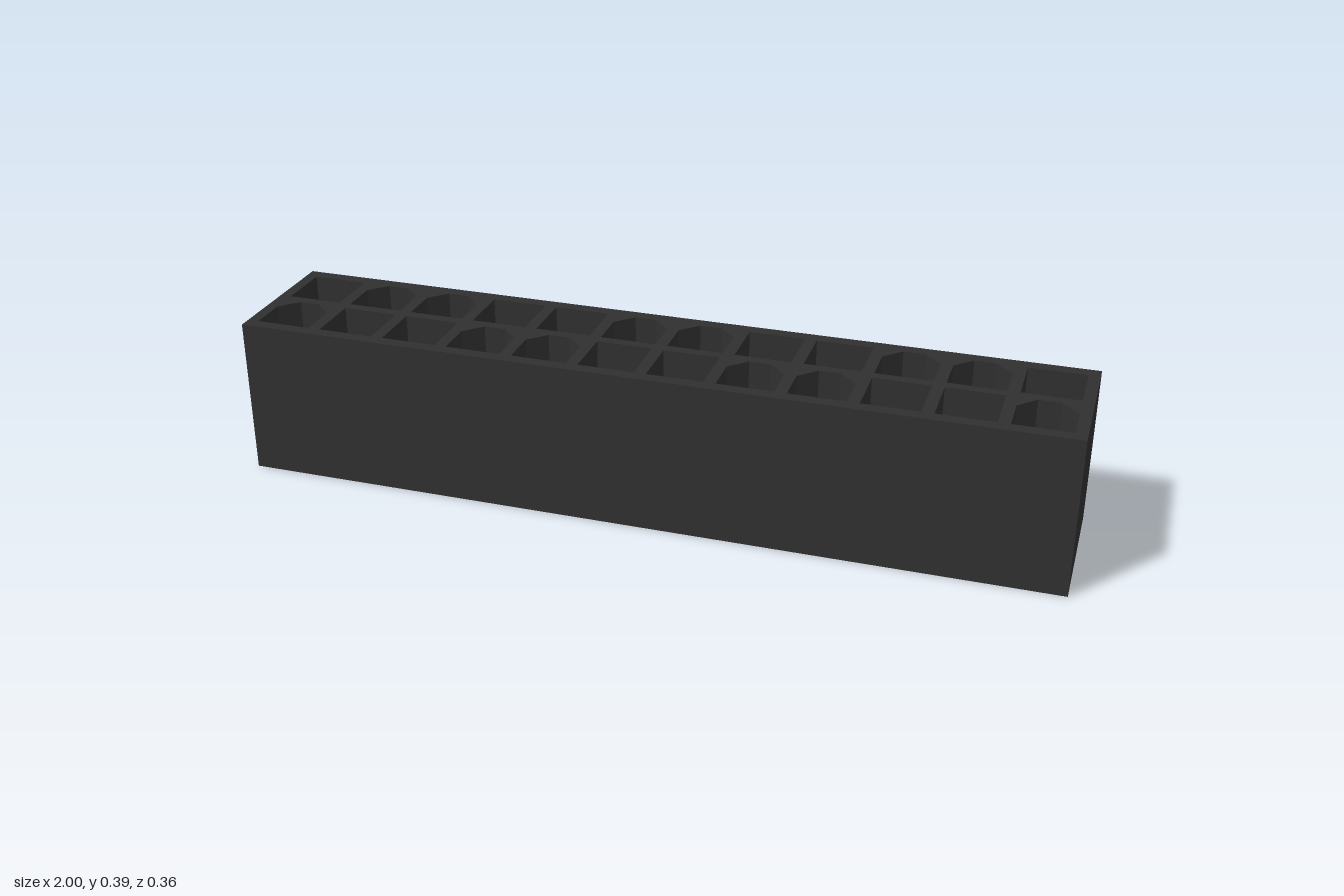
import * as THREE from 'three';

const WIDTH = 2, HEIGHT = 0.387, DEPTH = 0.36;
const COLUMNS = 12, PITCH = 0.1645, ROW_Z = 0.081;
const HALF = 0.068, CHAMFER = 0.042, FLOOR_Y = 0.04;

// Cell outline, counter-clockwise, in (x, -z); keyed cells lose both rear corners
function cellOutline(cx, cz, keyed) {
  const c = CHAMFER, h = HALF;
  const rear = keyed ? [[h, h - c], [h - c, h], [c - h, h], [-h, h - c]] : [[h, h], [-h, h]];
  return [[-h, -h], [h, -h], ...rear].map(([x, y]) => new THREE.Vector2(cx + x, y - cz));
}

// Lay a flat shape out horizontally, facing up
function flat(shape, y) {
  return new THREE.ShapeGeometry(shape).rotateX(-Math.PI / 2).translate(0, y, 0);
}

// Inward-facing walls of a cell
function cellWalls(points) {
  const positions = [];
  points.forEach((a, i) => {
    const b = points[(i + 1) % points.length];
    for (const [p, y] of [[b, FLOOR_Y], [a, FLOOR_Y], [a, HEIGHT], [b, FLOOR_Y], [a, HEIGHT], [b, HEIGHT]]) {
      positions.push(p.x, y, -p.y);
    }
  });
  const geometry = new THREE.BufferGeometry();
  geometry.setAttribute('position', new THREE.Float32BufferAttribute(positions, 3));
  geometry.computeVertexNormals();
  return geometry;
}

export function createModel() {
  const model = new THREE.Group();
  model.name = 'connectorHousing';
  const plastic = new THREE.MeshStandardMaterial({ color: 0x303030 });

  function add(parent, name, geometry) {
    const mesh = new THREE.Mesh(geometry, plastic);
    mesh.name = name;
    parent.add(mesh);
  }

  // Outer shell: a box without its top face
  const box = new THREE.BoxGeometry(WIDTH, HEIGHT, DEPTH).translate(0, HEIGHT / 2, 0);
  const index = Array.from(box.index.array);
  index.splice(12, 6);
  box.setIndex(index);
  box.clearGroups();
  add(model, 'outerShell', box);

  // Top face, pierced by the cells
  const w = WIDTH / 2, d = DEPTH / 2;
  const top = new THREE.Shape([[-w, -d], [w, -d], [w, d], [-w, d]].map(([x, y]) => new THREE.Vector2(x, y)));

  // Two rows of pin cells, keyed in alternating pairs
  for (let row = 0; row < 2; row++) {
    for (let col = 0; col < COLUMNS; col++) {
      const middlePair = col % 4 === 1 || col % 4 === 2;
      const keyed = row === 0 ? middlePair : !middlePair;
      const outline = cellOutline((col - (COLUMNS - 1) / 2) * PITCH, row === 0 ? -ROW_Z : ROW_Z, keyed);
      top.holes.push(new THREE.Path(outline));

      const cell = new THREE.Group();
      cell.name = keyed ? 'keyedCell' : 'squareCell';
      add(cell, 'cellWalls', cellWalls(outline));
      add(cell, 'cellFloor', flat(new THREE.Shape(outline), FLOOR_Y));
      model.add(cell);
    }
  }
  add(model, 'topFace', flat(top, HEIGHT));
  return model;
}
